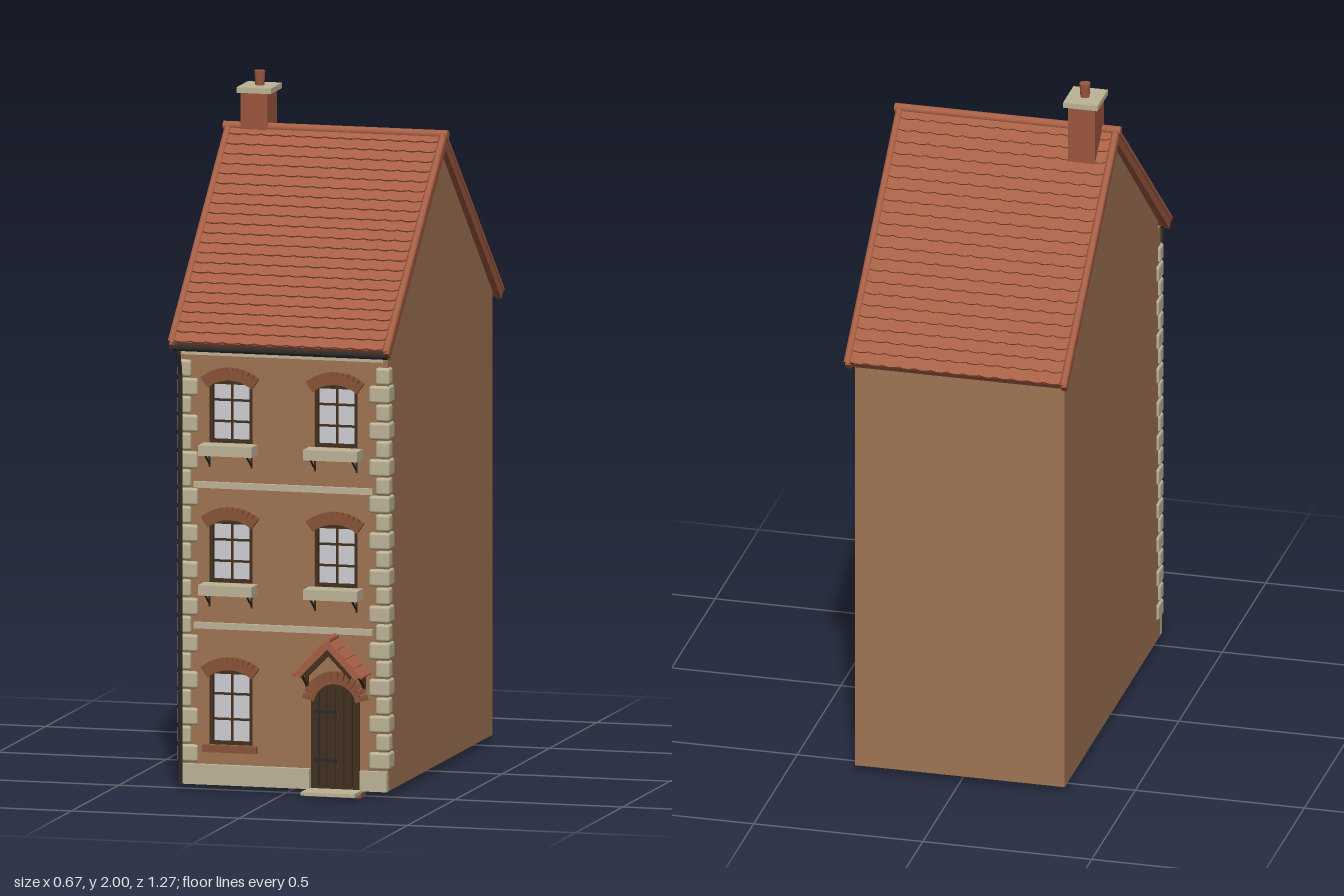
import * as THREE from 'three';
import { RoundedBoxGeometry } from 'three/addons/geometries/RoundedBoxGeometry.js';

const mat = (name, color) => {
  const m = new THREE.MeshStandardMaterial({ color });
  m.name = name;
  return m;
};

export function createModel() {
  const wall = mat('wallRender', 0x9f7453), roofRed = mat('roofTile', 0xa86046), stone = mat('stone', 0xbdb396);
  const brick = mat('brick', 0x885338), wood = mat('darkWood', 0x44301f), glass = mat('glass', 0xcfcfd4);
  const iron = mat('iron', 0x2c2a28), chimneyBrick = mat('chimneyBrick', 0x9c573e);
  const house = new THREE.Group();
  house.name = 'townHouse';

  const add = (name, geo, m, parent = house) => {
    const mesh = new THREE.Mesh(geo, m);
    mesh.name = name;
    parent.add(mesh);
    return mesh;
  };
  // box given by its lower and upper limits on each axis
  const box = (name, x0, x1, y0, y1, z0, z1, m, parent = house) => {
    const b = add(name, new THREE.BoxGeometry(x1 - x0, y1 - y0, z1 - z0), m, parent);
    b.position.set((x0 + x1) / 2, (y0 + y1) / 2, (z0 + z1) / 2);
    return b;
  };
  const group = (name, parent = house) => {
    const g = new THREE.Group();
    g.name = name;
    parent.add(g);
    return g;
  };
  const rod = (name, pts, r, m, parent = house) => {
    const v = pts.map(p => new THREE.Vector3(...p));
    const path = new THREE.CurvePath();
    for (let i = 1; i < v.length; i++) path.add(new THREE.LineCurve3(v[i - 1], v[i]));
    return add(name, new THREE.TubeGeometry(path, v.length > 2 ? 40 : 1, r, 8, false), m, parent);
  };
  const extrude = (shape, depth) => new THREE.ExtrudeGeometry(shape, { depth, bevelEnabled: false, curveSegments: 8 });
  // opening with a shallow arched head
  const opening = (cx, y0, y1, w, rise, C = THREE.Shape) => {
    const s = new C();
    s.moveTo(cx - w, y0);
    s.lineTo(cx + w, y0);
    s.lineTo(cx + w, y1 - rise);
    s.quadraticCurveTo(cx, y1 + rise, cx - w, y1 - rise);
    s.closePath();
    return s;
  };
  // fan of bricks over an opening
  const brickArch = (cx, cy, r, span, n, parent) => {
    for (let i = 0; i < n; i++) {
      const a = span * (2 * i / (n - 1) - 1);
      const b = add('archBrick', new THREE.BoxGeometry(0.015, 0.036, 0.026), brick, parent);
      b.position.set(cx + r * Math.sin(a), cy + r * Math.cos(a), 0.533);
      b.rotation.z = -a;
    }
  };

  // Walls: hollow shell, open below
  const windows = [
    [-0.158, 1.01, 1.195], [0.155, 1.01, 1.195], [-0.158, 0.605, 0.79], [0.155, 0.605, 0.79], [-0.158, 0.135, 0.355],
  ];
  const facade = new THREE.Shape();
  facade.moveTo(-0.31, 0.02);
  facade.lineTo(0.31, 0.02);
  facade.lineTo(0.31, 1.305);
  facade.lineTo(-0.31, 1.305);
  windows.forEach(([x, a, b]) => facade.holes.push(opening(x, a, b, 0.064, 0.012, THREE.Path)));
  add('frontWall', extrude(facade, 0.03), wall).position.z = 0.5;
  box('backWall', -0.31, 0.31, 0.02, 1.305, -0.573, -0.54, wall);
  const gable = new THREE.Shape([[0.5, 0.02], [0.5, 1.33], [-0.02, 1.8], [-0.573, 1.305], [-0.573, 0.02]]
    .map(p => new THREE.Vector2(...p)));
  for (const s of [-1, 1]) {
    const g = extrude(gable, 0.035);
    g.translate(0, 0, -0.0175);
    g.rotateY(-Math.PI / 2);
    add('gableWall', g, wall).position.x = s * 0.2925;
  }
  box('innerLining', -0.275, 0.275, 0.025, 1.25, 0.38, 0.5, stone);

  // Windows with bars, arch and sill
  windows.forEach(([x, a, b], i) => {
    const w = group('window');
    add('windowPane', extrude(opening(x, a, b, 0.064, 0.012), 0.004), glass, w).position.z = 0.508;
    for (const s of [-1, 1]) box('frameSide', x + s * 0.059 - 0.005, x + s * 0.059 + 0.005, a, b - 0.006, 0.51, 0.526, wood, w);
    box('frameHead', x - 0.06, x + 0.06, b - 0.015, b - 0.003, 0.51, 0.526, wood, w);
    box('frameFoot', x - 0.06, x + 0.06, a, a + 0.01, 0.51, 0.526, wood, w);
    box('glazingBar', x - 0.003, x + 0.003, a, b - 0.006, 0.51, 0.52, wood, w);
    for (const t of [1 / 3, 2 / 3]) {
      const y = a + (b - a) * t;
      box('glazingBar', x - 0.06, x + 0.06, y - 0.003, y + 0.003, 0.51, 0.52, wood, w);
    }
    brickArch(x, b - 0.103, 0.12, 0.62, 11, w);
    if (i === 4) {
      box('brickSill', x - 0.08, x + 0.08, a - 0.02, a, 0.52, 0.55, brick, w);
      return;
    }
    box('stoneSill', x - 0.08, x + 0.08, a - 0.03, a, 0.525, 0.593, stone, w);
    for (const s of [-1, 1]) {
      rod('sillBracket', [[x + s * 0.062, a - 0.03, 0.582], [x + s * 0.062, a - 0.062, 0.533]], 0.003, iron, w);
      rod('sillBracket', [[x + s * 0.062, a - 0.03, 0.533], [x + s * 0.062, a - 0.07, 0.533]], 0.003, iron, w);
    }
  });

  // Corner stones, alternating long and short
  const corners = group('cornerStones');
  for (let i = 0; i < 22; i++) {
    const w = i % 2 ? 0.042 : 0.062, d = i % 2 ? 0.042 : 0.062;
    for (const s of [-1, 1]) {
      const q = add('cornerStone', new RoundedBoxGeometry(w, 0.05, d, 2, 0.008), stone, corners);
      q.position.set(s * (0.317 - w / 2), 0.108 + i * 0.0531, 0.543 - d / 2);
    }
  }

  // Stone bands and plinth
  for (const y of [0.48, 0.888]) box('stoneBand', -0.265, 0.265, y - 0.009, y + 0.009, 0.52, 0.542, stone);
  box('topBand', -0.3, 0.3, 1.265, 1.287, 0.52, 0.546, stone);
  box('plinth', -0.31, 0.08, 0.02, 0.078, 0.52, 0.547, stone);
  box('plinth', 0.23, 0.31, 0.02, 0.078, 0.52, 0.547, stone);

  // Door and step
  const entry = group('entrance');
  add('door', extrude(opening(0.155, 0.02, 0.335, 0.072, 0.04), 0.01), wood, entry).position.z = 0.526;
  for (let i = -2; i <= 2; i++) {
    const x = 0.155 + i * 0.025;
    box('doorGroove', x - 0.002, x + 0.002, 0.03, 0.315 - Math.abs(i) * 0.008, 0.53, 0.538, iron, entry);
  }
  for (const y of [0.1, 0.24]) box('doorHinge', 0.09, 0.16, y, y + 0.008, 0.53, 0.54, iron, entry);
  brickArch(0.155, 0.265, 0.08, 1.3, 13, entry);
  box('stepRiser', 0.075, 0.235, 0, 0.014, 0.5, 0.552, brick, entry);
  box('stepSlab', 0.075, 0.235, 0.012, 0.022, 0.5, 0.62, stone, entry);

  // Tiled canopy over the door
  const canopy = group('doorCanopy', entry);
  canopy.position.set(0.155, 0.465, 0.53);
  for (const s of [-1, 1]) {
    const side = group('canopySlope', canopy);
    side.rotation.z = s * -0.8;
    const put = (name, a, b, ...r) => box(name, Math.min(s * a, s * b), Math.max(s * a, s * b), ...r, side);
    put('canopyBoard', 0, 0.14, -0.018, -0.004, 0, 0.095, roofRed);
    for (let i = 0; i < 4; i++) {
      for (let j = 0; j < 4; j++) {
        const t = put('canopyTile', i * 0.036, i * 0.036 + 0.04, -0.005, 0.003, j * 0.025 + 0.001, j * 0.025 + 0.024, roofRed);
        t.rotation.z = s * 0.1;
      }
    }
    put('canopyRafter', 0.01, 0.125, -0.032, -0.018, 0.07, 0.085, wood);
    rod('canopyBracket', [[s * 0.085, -0.095, 0.08], [s * 0.085, -0.145, 0.002]], 0.005, wood, canopy);
    box('canopyPost', s * 0.085 - 0.005, s * 0.085 + 0.005, -0.15, -0.09, 0, 0.01, wood, canopy);
  }
  rod('canopyRidge', [[0, 0, 0], [0, 0, 0.1]], 0.01, roofRed, canopy);

  // Roof: two mirrored slopes of scalloped tile rows
  const run = 0.61, rise = 0.54, len = Math.hypot(run, rise), rows = 22, n = 13, pitch = len / rows, tw = 0.62 / n;
  const row = new THREE.Shape();
  row.moveTo(-0.31, pitch * 1.2);
  row.lineTo(-0.31, 0.004);
  for (let i = 0; i < n; i++) {
    const x = -0.31 + i * tw;
    row.quadraticCurveTo(x + tw / 2, -0.006, x + tw, 0.004);
  }
  row.lineTo(0.31, pitch * 1.2);
  row.closePath();
  const rowGeo = extrude(row, 0.006);
  for (const turn of [0, Math.PI]) {
    const half = group(turn ? 'backRoof' : 'frontRoof');
    half.position.set(0, 1.305, -0.02);
    half.rotation.y = turn;
    const slope = group('roofSlope', half);
    slope.position.z = run;
    slope.rotation.x = -Math.atan2(run, rise);
    box('roofDeck', -0.318, 0.318, 0.004, len - 0.006, -0.03, -0.004, roofRed, slope);
    for (let i = 0; i < rows; i++) {
      const r = add('tileRow', rowGeo, roofRed, slope);
      r.position.set(0, i * pitch, 0);
      r.rotation.x = -0.13;
    }
    for (const s of [-1, 1]) {
      box('bargeBoard', s * 0.319 - 0.008, s * 0.319 + 0.008, 0, len - 0.01, -0.034, -0.01, chimneyBrick, slope);
      rod('vergeTile', [[s * 0.32, 0, -0.002], [s * 0.32, len, -0.002]], 0.011, roofRed, slope);
    }
  }
  const ridge = add('ridgeTile', new THREE.CylinderGeometry(0.013, 0.013, 0.668, 12), roofRed);
  ridge.rotation.z = Math.PI / 2;
  ridge.position.set(0, 1.843, -0.02);

  // Gutter and drainpipe
  const gutter = add('gutter', new THREE.CylinderGeometry(0.01, 0.01, 0.64, 10), iron);
  gutter.rotation.z = Math.PI / 2;
  gutter.position.set(0, 1.288, 0.572);
  rod('drainpipe', [[-0.303, 1.285, 0.572], [-0.303, 1.26, 0.57], [-0.303, 1.22, 0.552], [-0.303, 0.02, 0.552]], 0.007, iron);

  // Chimney
  const chimney = group('chimney');
  box('chimneyStack', -0.28, -0.2, 1.7, 1.945, -0.107, -0.005, chimneyBrick, chimney);
  box('chimneyCap', -0.29, -0.188, 1.942, 1.958, -0.118, 0.002, stone, chimney);
  const pot = add('chimneyPot', new THREE.CylinderGeometry(0.016, 0.013, 0.044, 14), chimneyBrick, chimney);
  pot.position.set(-0.238, 1.978, -0.06);

  return house;
}
